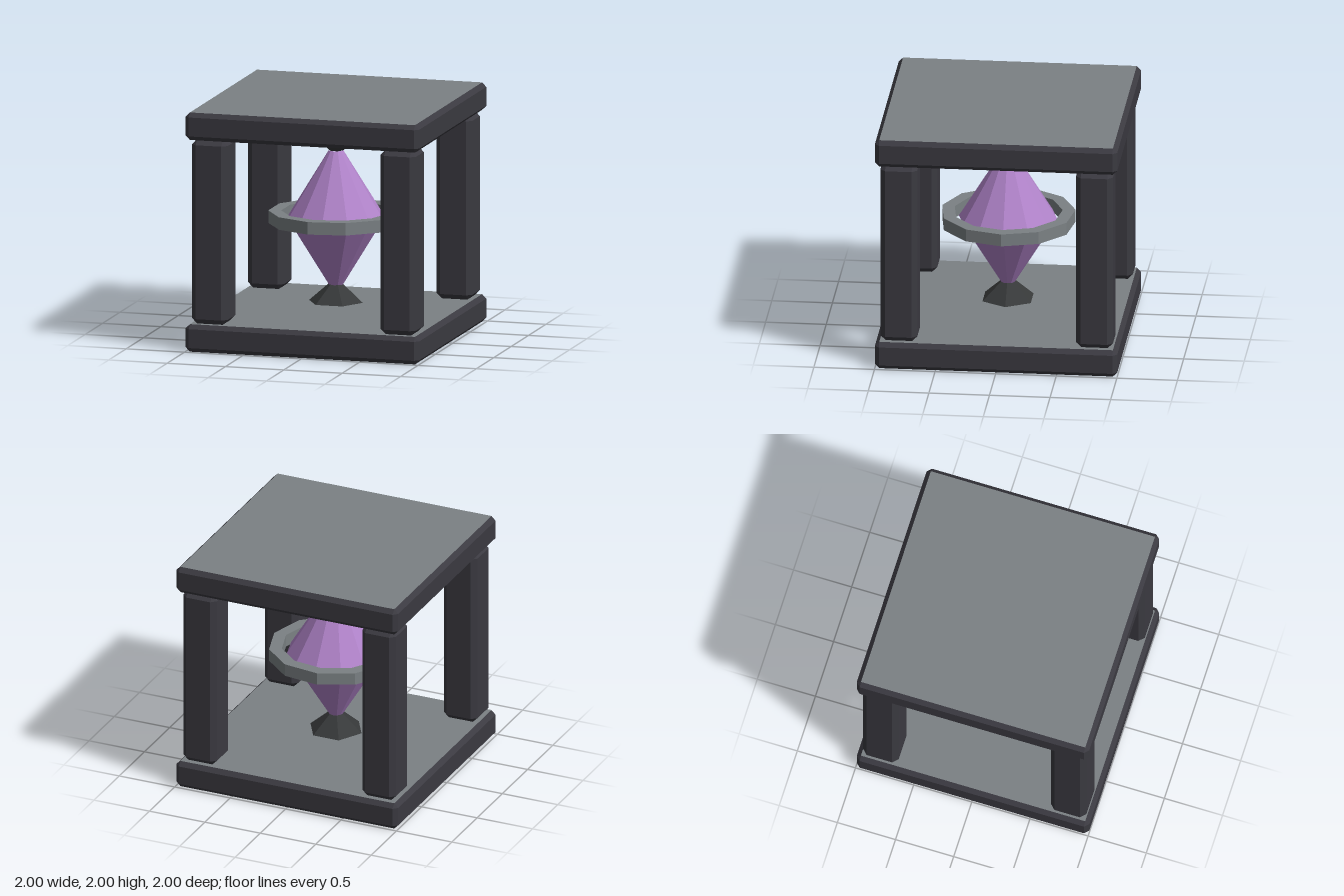
import * as THREE from 'three';
import { ConvexGeometry } from 'three/addons/geometries/ConvexGeometry.js';

function material(name, color) {
  const m = new THREE.MeshStandardMaterial({ color, flatShading: true });
  m.name = name;
  return m;
}

// Box with every edge chamfered by c; group 0 is the sides, group 1 the flat top and bottom
function chamferBox(w, h, d, c) {
  const points = [];
  for (const sx of [-1, 1]) for (const sy of [-1, 1]) for (const sz of [-1, 1]) {
    const x = w / 2, y = h / 2, z = d / 2;
    points.push(
      new THREE.Vector3(sx * x, sy * (y - c), sz * (z - c)),
      new THREE.Vector3(sx * (x - c), sy * y, sz * (z - c)),
      new THREE.Vector3(sx * (x - c), sy * (y - c), sz * z));
  }
  const geometry = new ConvexGeometry(points);
  const normal = geometry.attributes.normal;
  for (let i = 0; i < normal.count; i += 3) {
    geometry.addGroup(i, 3, Math.abs(normal.getY(i)) > 0.99 ? 1 : 0);
  }
  return geometry;
}

export function createModel() {
  const model = new THREE.Group();
  const frameDark = material('frameDark', 0x3b3a41);
  const stoneGrey = material('stoneGrey', 0x7b8184);
  const crystalPurple = material('crystalPurple', 0xb083c9);
  const capBlack = material('capBlack', 0x37393a);

  const add = (name, geometry, mat, x, y, z) => {
    const mesh = new THREE.Mesh(geometry, mat);
    mesh.name = name;
    mesh.position.set(x, y, z);
    model.add(mesh);
  };
  const frustum = (top, bottom, height, sides, open) =>
    new THREE.CylinderGeometry(top, bottom, height, sides, 1, open, Math.PI / 2);

  // Base and roof slabs with grey faces
  const slab = chamferBox(2, 0.23, 2, 0.036);
  add('baseSlab', slab, [frameDark, stoneGrey], 0, 0.115, 0);
  add('roofSlab', slab, [frameDark, stoneGrey], 0, 1.885, 0);

  // Corner pillars
  const pillar = chamferBox(0.305, 1.54, 0.305, 0.043);
  for (const sx of [-1, 1]) for (const sz of [-1, 1]) {
    const name = (sz > 0 ? 'front' : 'back') + (sx > 0 ? 'Left' : 'Right') + 'Pillar';
    add(name, pillar, frameDark, sx * 0.807, 1, sz * 0.807);
  }

  // Double-cone crystal
  add('crystalTop', frustum(0.06, 0.405, 0.56, 12, true), crystalPurple, 0, 1.28, 0);
  add('crystalBottom', frustum(0.405, 0.06, 0.56, 12, true), crystalPurple, 0, 0.72, 0);

  // Flared caps at both tips
  add('topCap', frustum(0.23, 0.06, 0.15, 6, false), capBlack, 0, 1.635, 0);
  add('bottomCap', frustum(0.06, 0.23, 0.15, 6, false), capBlack, 0, 0.37, 0);

  // Eleven-sided ring floating around the crystal
  const inner = 0.45, outer = 0.556, half = 0.052;
  const profile = [[inner, -half], [outer, -half], [outer, half], [inner, half], [inner, -half]]
    .map(([r, y]) => new THREE.Vector2(r, y));
  add('ring', new THREE.LatheGeometry(profile, 11, Math.PI / 2), stoneGrey, 0, 1.003, 0);

  return model;
}
